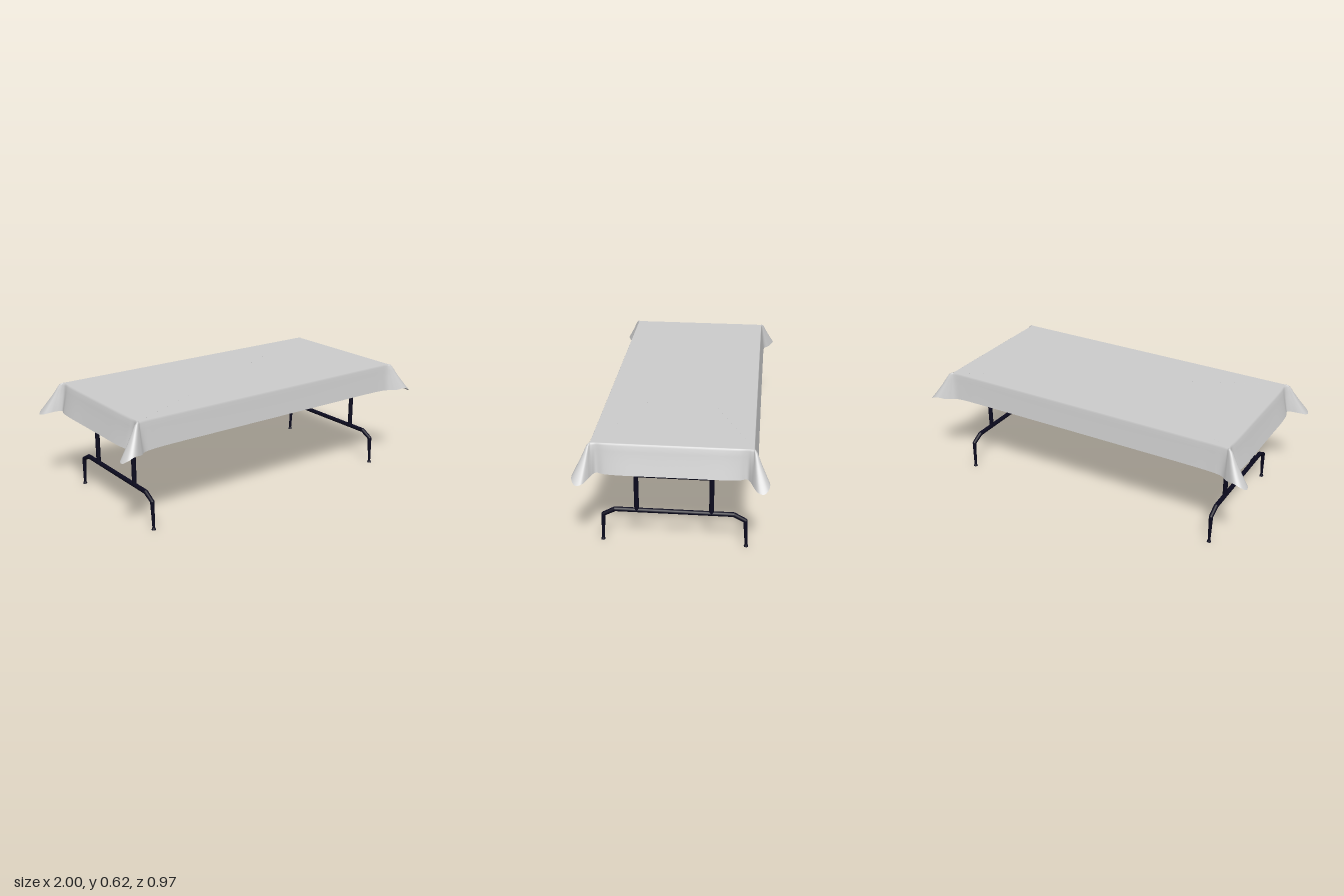
import * as THREE from 'three';

const cloth = new THREE.MeshStandardMaterial({ color: 0xcccccc, side: THREE.DoubleSide });
cloth.name = 'pale cloth';
const steel = new THREE.MeshStandardMaterial({ color: 0x0b0a1e });
steel.name = 'dark steel';

// Hem of one corner, from the long side round the flared fold to the short side
const HEM = [
  [0.3, 0.472, 0.425], [0.7, 0.472, 0.426], [0.8, 0.47, 0.427], [0.85, 0.467, 0.432],
  [0.89, 0.468, 0.462], [0.94, 0.478, 0.486], [0.98, 0.462, 0.481], [0.999, 0.448, 0.46],
  [0.994, 0.452, 0.432], [0.96, 0.462, 0.408], [0.925, 0.468, 0.393], [0.9, 0.47, 0.375],
  [0.912, 0.47, 0.335], [0.92, 0.471, 0.25], [0.92, 0.471, 0.1],
];
const TOP_Y = 0.622, HALF_X = 0.865, HALF_Z = 0.403;
// Fraction outwards and fraction downwards for each ring of the drape
const RINGS = [[0.03, 0], [0.1, 0.015], [0.2, 0.07], [0.34, 0.25], [0.5, 0.45], [0.75, 0.73], [1, 1]];

function makeCloth() {
  const corner = (sx, sz) => HEM.map(([x, y, z]) => new THREE.Vector3(sx * x, y, sz * z));
  const loop = [
    ...corner(1, 1), ...corner(1, -1).reverse(),
    ...corner(-1, -1), ...corner(-1, 1).reverse(),
  ];
  const n = loop.length * 6;
  const curve = new THREE.CatmullRomCurve3(loop, true);
  const positions = [0, TOP_Y, 0];
  const index = [];
  RINGS.forEach(([out, down], r) => {
    for (let i = 0; i < n; i++) {
      const p = curve.getPoint(i / n);
      const x = THREE.MathUtils.clamp(p.x, -HALF_X, HALF_X);
      const z = THREE.MathUtils.clamp(p.z, -HALF_Z, HALF_Z);
      positions.push(x + (p.x - x) * out, TOP_Y + (p.y - TOP_Y) * down, z + (p.z - z) * out);
      const j = (i + 1) % n;
      const b = 1 + r * n;
      if (r === 0) index.push(0, b + i, b + j);
      else index.push(b - n + i, b + i, b + j, b - n + i, b + j, b - n + j);
    }
  });
  const geometry = new THREE.BufferGeometry();
  geometry.setAttribute('position', new THREE.Float32BufferAttribute(positions, 3));
  geometry.setIndex(index);
  geometry.computeVertexNormals();
  return geometry;
}

function add(parent, name, geometry, material) {
  const mesh = new THREE.Mesh(geometry, material);
  mesh.name = name;
  parent.add(mesh);
  return mesh;
}

// Round tube in the leg plane between two [y, z] points
function tube(parent, name, [y0, z0], [y1, z1], r0, r1 = r0) {
  const a = new THREE.Vector3(0, y0, z0), b = new THREE.Vector3(0, y1, z1);
  const d = b.clone().sub(a);
  const mesh = add(parent, name, new THREE.CylinderGeometry(r1, r0, d.length(), 16), steel);
  mesh.position.copy(a).add(b).multiplyScalar(0.5);
  mesh.quaternion.setFromUnitVectors(new THREE.Vector3(0, 1, 0), d.normalize());
}

function joint(parent, y, z, r) {
  add(parent, 'legBend', new THREE.SphereGeometry(r, 16, 10), steel).position.set(0, y, z);
}

function makeLegFrame() {
  const frame = new THREE.Group();
  frame.name = 'legFrame';
  tube(frame, 'upperCrossbar', [0.398, -0.195], [0.398, 0.195], 0.011);
  tube(frame, 'lowerCrossbar', [0.19, -0.31], [0.19, 0.31], 0.0125);
  for (const s of [-1, 1]) {
    tube(frame, 'upright', [0.19, s * 0.195], [0.6, s * 0.195], 0.0125);
    joint(frame, 0.19, s * 0.31, 0.0125);
    tube(frame, 'shoulder', [0.19, s * 0.31], [0.157, s * 0.371], 0.0125, 0.0115);
    joint(frame, 0.157, s * 0.371, 0.0115);
    tube(frame, 'leg', [0.157, s * 0.371], [0.008, s * 0.378], 0.0115, 0.007);
    tube(frame, 'foot', [0, s * 0.378], [0.013, s * 0.378], 0.012, 0.0075);
  }
  return frame;
}

export function createModel() {
  const table = new THREE.Group();
  table.name = 'foldingTable';
  add(table, 'tablecloth', makeCloth(), cloth);
  add(table, 'tabletop', new THREE.BoxGeometry(1.73, 0.022, 0.8), steel).position.y = 0.606;
  for (const s of [-1, 1]) {
    const frame = makeLegFrame();
    frame.position.x = s * 0.783;
    table.add(frame);
  }
  return table;
}
